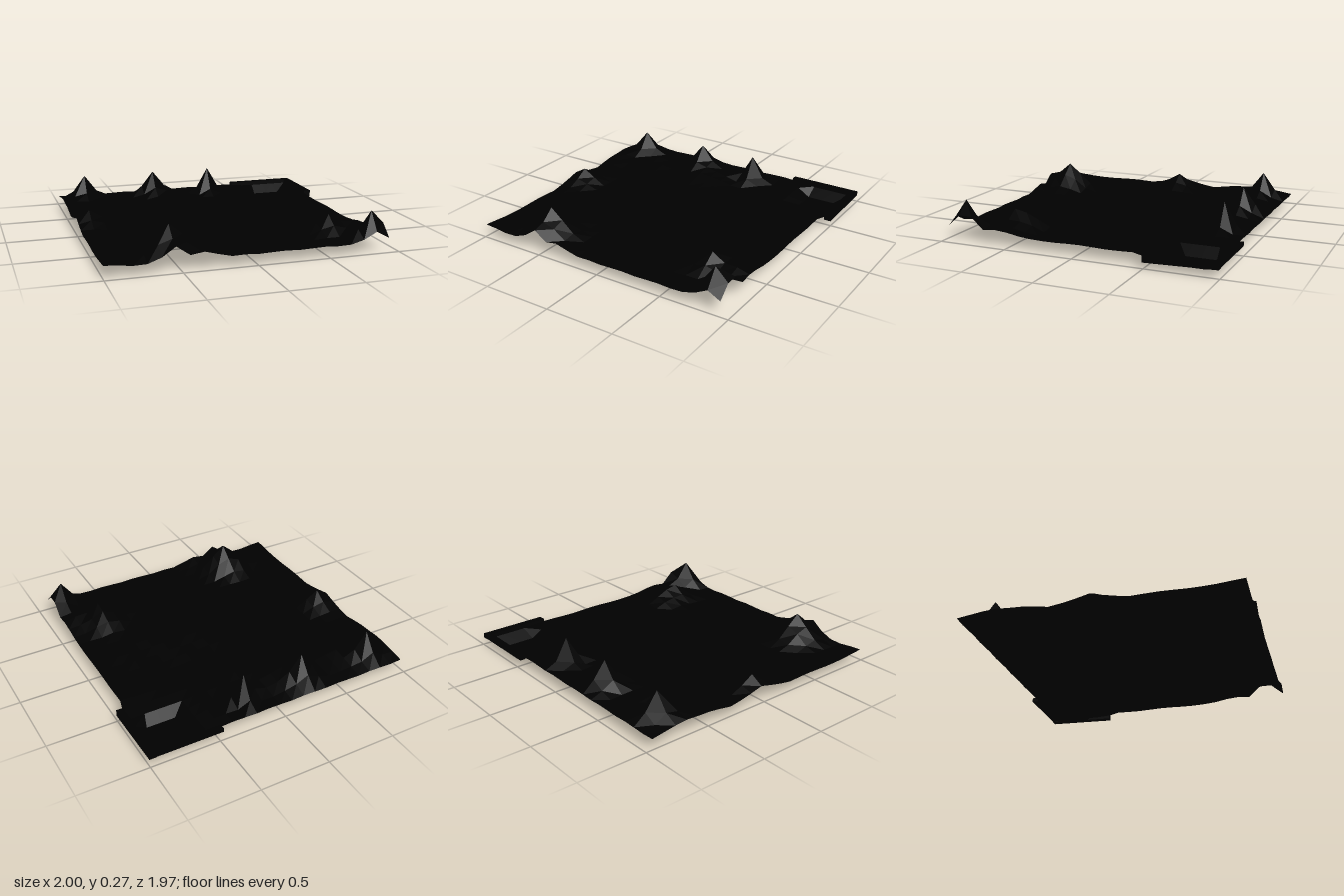
import * as THREE from 'three';

const CELLS = 21, STEP = 0.092, X0 = -1, Z0 = 0.98;
const material = new THREE.MeshStandardMaterial({ color: 0x000000, flatShading: true, side: THREE.DoubleSide });

// hills as [column, row, height, radius in cells]; rows run from front to back
const hills = [
  [2, 19, 0.27, 1.6], [8, 19, 0.27, 1.7], [13, 19, 0.27, 1.25],
  [1, 18, 0.13, 3], [4, 18, 0.12, 3], [9, 18, 0.13, 3],
  [1, 11, 0.18, 2], [0, 11, 0.115, 3],
  [5, 2, 0.27, 2.6], [5, 0, 0.17, 1.5], [7, 0, 0.12, 2],
  [20, 1, 0.27, 1.6], [21, 1, 0.18, 1], [21, 2, 0.18, 1.3],
  [18, 4, 0.19, 2], [18, 5, 0.17, 2.3], [20, 4, 0.13, 2.5],
  [0, 0, 0.09, 2], [0, 16, 0.1, 2],
];

// ground height at a grid corner: gentle plain, shallow dip and pointed hills
function groundHeight(i, j) {
  const x = X0 + i * STEP, z = Z0 - j * STEP;
  let h = 0.074 + 0.003 * Math.sin(i * 2.1 + j * 1.3);
  const dip = Math.hypot((x - 0.45) / 0.45, (z + 0.22) / 0.35);
  h -= 0.025 * Math.max(0, 1 - dip);
  const base = h;
  for (const [ci, cj, top, r] of hills) {
    const d = Math.hypot(i - ci, j - cj);
    h = Math.max(h, base + (top - base) * Math.max(0, 1 - d / r));
  }
  return h;
}

// sunken pond basin in the back corner: flat square floor, sloping sides
function basinPoint(x, z) {
  const dx = x - 0.748, dz = z + 0.768;
  const d = Math.max(Math.abs(dx), Math.abs(dz));
  if (d < 0.12) return [0.755 + dx * 1.13, 0, -0.76 + dz * 1.17];
  return [x, d < 0.2 ? 0.06 : 0.066, z];
}

function createTerrain() {
  const geo = new THREE.PlaneGeometry(2, 2, CELLS, CELLS);
  const pos = geo.attributes.position;
  for (let row = 0; row <= CELLS; row++) {
    for (let i = 0; i <= CELLS; i++) {
      const j = CELLS - row;
      const x = X0 + i * STEP, z = Z0 - j * STEP;
      const inPond = x > 0.5 && z < -0.45;
      const p = inPond ? basinPoint(x, z) : [x, groundHeight(i, j), z];
      if (inPond && i === CELLS) p[0] = 0.955; // edge reaches out to the pond rim
      pos.setXYZ(row * (CELLS + 1) + i, ...p);
    }
  }
  geo.computeVertexNormals();
  const mesh = new THREE.Mesh(geo, material);
  mesh.name = 'terrain';
  return mesh;
}

// bar of the pond rim with a level top; bottomAt gives its underside height at z
function createRimBar(name, minX, maxX, minZ, maxZ, bottomAt) {
  const top = 0.088;
  const geo = new THREE.BoxGeometry(maxX - minX, 1, maxZ - minZ);
  geo.translate((minX + maxX) / 2, 0, (minZ + maxZ) / 2);
  const pos = geo.attributes.position;
  for (let k = 0; k < pos.count; k++) pos.setY(k, pos.getY(k) > 0 ? top : bottomAt(pos.getZ(k)));
  geo.computeVertexNormals();
  const mesh = new THREE.Mesh(geo, material);
  mesh.name = name;
  return mesh;
}

export function createModel() {
  const model = new THREE.Group();
  model.name = 'landscape';
  const rim = new THREE.Group();
  rim.name = 'pondRim';
  rim.add(
    createRimBar('rimLeft', 0.95, 1, -0.99, -0.49, (z) => 0.04 - 0.03 * (z + 0.49)),
    createRimBar('rimBack', 0.47, 0.95, -0.99, -0.945, () => 0.058),
  );
  model.add(createTerrain(), rim);
  return model;
}
